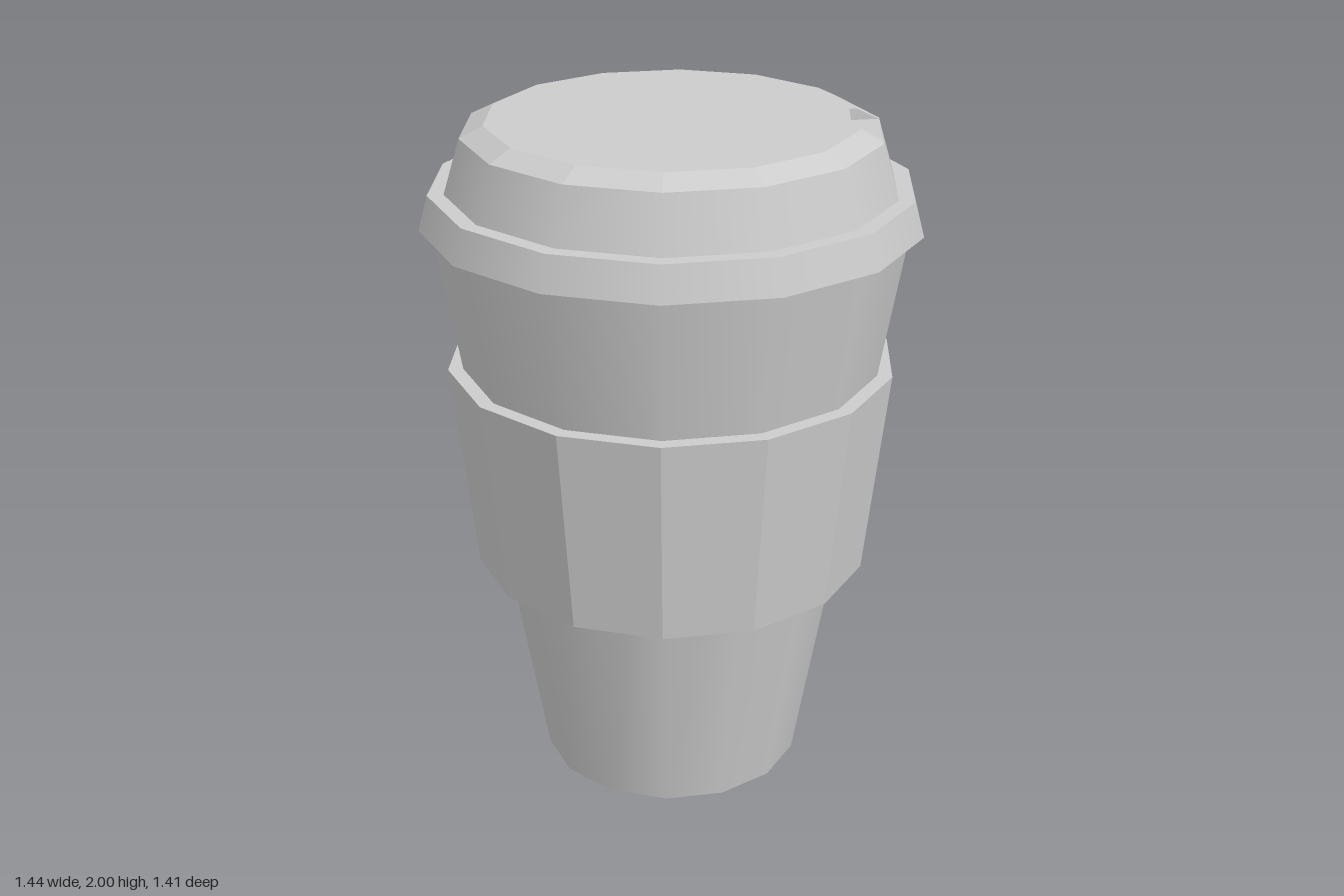
import * as THREE from 'three';

const SIDES = 14;
const STEP = (Math.PI * 2) / SIDES;
const START = THREE.MathUtils.degToRad(88.7); // a corner points almost along +x

const smooth = new THREE.MeshStandardMaterial({ color: 0xcccccc });
const faceted = new THREE.MeshStandardMaterial({ color: 0xcccccc, flatShading: true });

function add(parent, name, geometry, material) {
  const mesh = new THREE.Mesh(geometry, material);
  mesh.name = name;
  parent.add(mesh);
  return mesh;
}

// Tapered fourteen-sided wall between two heights
function taper(rBottom, yBottom, rTop, yTop, open = false) {
  return new THREE.CylinderGeometry(rTop, rBottom, yTop - yBottom, SIDES, 1, open, START)
    .translate(0, (yTop + yBottom) / 2, 0);
}

// Flat upward or downward ring
function ring(rInner, rOuter, y, up) {
  return new THREE.RingGeometry(rInner, rOuter, SIDES, 1, START - Math.PI / 2)
    .rotateX(up ? -Math.PI / 2 : Math.PI / 2)
    .translate(0, y, 0);
}

const corner = (i, r, y) => new THREE.Vector3(
  Math.sin(START + i * STEP) * r, y, Math.cos(START + i * STEP) * r);

// Convex or star-shaped polygons, each drawn as a fan from its first point
function polygons(list) {
  const points = [];
  for (const p of list)
    for (let i = 1; i < p.length - 1; i++) points.push(p[0], p[i], p[i + 1]);
  const geometry = new THREE.BufferGeometry().setFromPoints(points);
  geometry.computeVertexNormals();
  return geometry;
}

// Lid top: bevel and disc, with a sip notch cut in the first side
function lidTop(rOuter, rInner, rCut, yLow, yTop) {
  const along = (t, r, y) => corner(0, r, y).lerp(corner(1, r, y), t);
  const [outer, inner, back, floor] = [
    [rOuter, yLow], [rInner, yTop], [rCut, yTop], [rCut, yLow],
  ].map(([r, y]) => [along(0.12, r, y), along(0.95, r, y)]);
  const low = (i) => corner(i, rOuter, yLow);
  const high = (i) => corner(i, rInner, yTop);

  const bevel = [
    [low(0), outer[0], inner[0], high(0)],
    [outer[1], low(1), high(1), inner[1]],
  ];
  const rim = [high(0), inner[0], back[0], back[1], inner[1]];
  for (let i = 1; i < SIDES; i++) {
    bevel.push([low(i), low(i + 1), high(i + 1), high(i)]);
    rim.push(high(i));
  }
  const disc = [new THREE.Vector3(0, yTop, 0), ...rim, rim[0]];
  const notch = [
    [outer[0], outer[1], floor[1], floor[0]],
    [floor[0], floor[1], back[1], back[0]],
    [outer[0], floor[0], back[0], inner[0]],
    [outer[1], inner[1], back[1], floor[1]],
  ];
  return { bevel, disc: [disc], notch };
}

export function createModel() {
  const model = new THREE.Group();
  model.name = 'travelCup';

  // Cup body and grip sleeve
  add(model, 'cupBody', taper(0.39, 0, 0.682, 1.72), smooth).position.z = 0.012;
  add(model, 'sleeve', taper(0.585, 0.67, 0.653, 1.29), faceted).position.z = 0.012;

  // Lid, from the overhanging rim up
  const lid = new THREE.Group();
  lid.name = 'lid';
  model.add(lid);
  add(lid, 'lidUnderside', ring(0.6, 0.72, 1.71, false), smooth);
  add(lid, 'lidRim', taper(0.72, 1.71, 0.692, 1.81, true), smooth);
  add(lid, 'lidLedge', ring(0.645, 0.692, 1.81, true), smooth);
  add(lid, 'lidWall', taper(0.645, 1.81, 0.597, 1.967, true), smooth);
  const top = lidTop(0.597, 0.53, 0.508, 1.967, 2);
  add(lid, 'lidBevel', polygons(top.bevel), faceted);
  add(lid, 'lidDisc', polygons(top.disc), faceted);
  add(lid, 'sipNotch', polygons(top.notch), faceted);

  return model;
}
